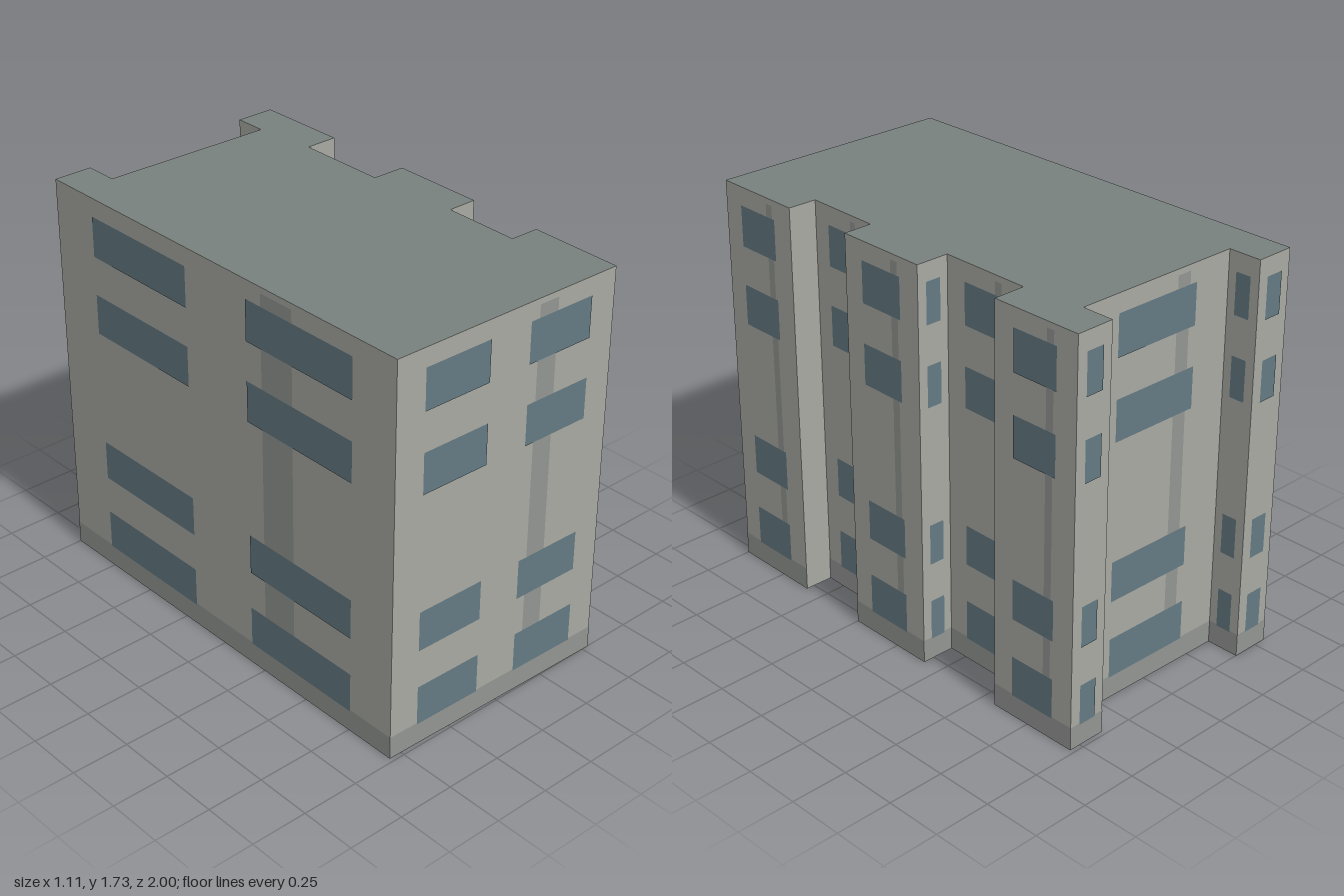
import * as THREE from 'three';

const HEIGHT = 1.73;

// Footprint corners [x, z], running front, right, back, left
const FOOTPRINT = [
  [-0.555, 0.98], [0.53, 1.0], [0.537, 0.59], [0.41, 0.587],
  [0.417, 0.25], [0.545, 0.25], [0.55, -0.163], [0.403, -0.165],
  [0.408, -0.57], [0.55, -0.57], [0.55, -0.98], [0.38, -0.98],
  [0.38, -0.84], [-0.385, -0.853], [-0.385, -1.0], [-0.555, -1.0],
];

const paint = (color, side = THREE.FrontSide) => new THREE.MeshStandardMaterial({ color, side });

export function createModel() {
  const model = new THREE.Group();
  model.name = 'apartmentBlock';

  const wallMat = paint(0xa8a9a2, THREE.DoubleSide);
  const roofMat = paint(0x79817e, THREE.DoubleSide);
  const plinthMat = paint(0x929592);
  const stripMat = paint(0x929592);
  const windowMat = paint(0x647a83);

  // Upright rectangle in a wall's own plane: x along the wall, z outward
  function addPanel(wall, name, mat, x, width, y0, y1, offset) {
    const mesh = new THREE.Mesh(new THREE.PlaneGeometry(width, y1 - y0), mat);
    mesh.name = name;
    mesh.position.set(x, (y0 + y1) / 2, offset);
    wall.add(mesh);
  }

  FOOTPRINT.forEach(([x, z], i) => {
    const [nx, nz] = FOOTPRINT[(i + 1) % FOOTPRINT.length];
    const length = Math.hypot(nx - x, nz - z);
    const wall = new THREE.Group();
    wall.name = 'wall';
    wall.position.set(x, 0, z);
    wall.rotation.y = Math.atan2(z - nz, nx - x);
    model.add(wall);
    addPanel(wall, 'wallFace', wallMat, length / 2, length, 0, HEIGHT, 0);

    // The shortest returns are left blank
    if (length < 0.143) return;
    addPanel(wall, 'plinth', plinthMat, length / 2, length, 0, 0.1, 0.0015);

    // Vertical strip running behind the windows
    if (length > 0.2) {
      addPanel(wall, 'verticalStrip', stripMat, length * 0.68, length * 0.087, 0.1, 1.705, 0.0015);
    }

    // Two window columns on long walls, one elsewhere; the middle storey is blind
    const columns = length > 1 ? [0.268, 0.741] : [0.5];
    const width = length > 1 ? length * 0.3 - 0.012 : length * 0.55 - 0.012;
    for (const floor of [0, 1, 3, 4]) {
      const y = 0.183 + floor * 0.345;
      for (const u of columns) {
        addPanel(wall, 'window', windowMat, length * u, width, y - 0.088, y + 0.088, 0.003);
      }
    }
  });

  // Flat roof over the footprint; the underside of the block is open
  const outline = new THREE.Shape(FOOTPRINT.map(([x, z]) => new THREE.Vector2(x, -z)));
  const roof = new THREE.Mesh(new THREE.ShapeGeometry(outline).rotateX(-Math.PI / 2), roofMat);
  roof.name = 'roof';
  roof.position.y = HEIGHT;
  model.add(roof);

  return model;
}
